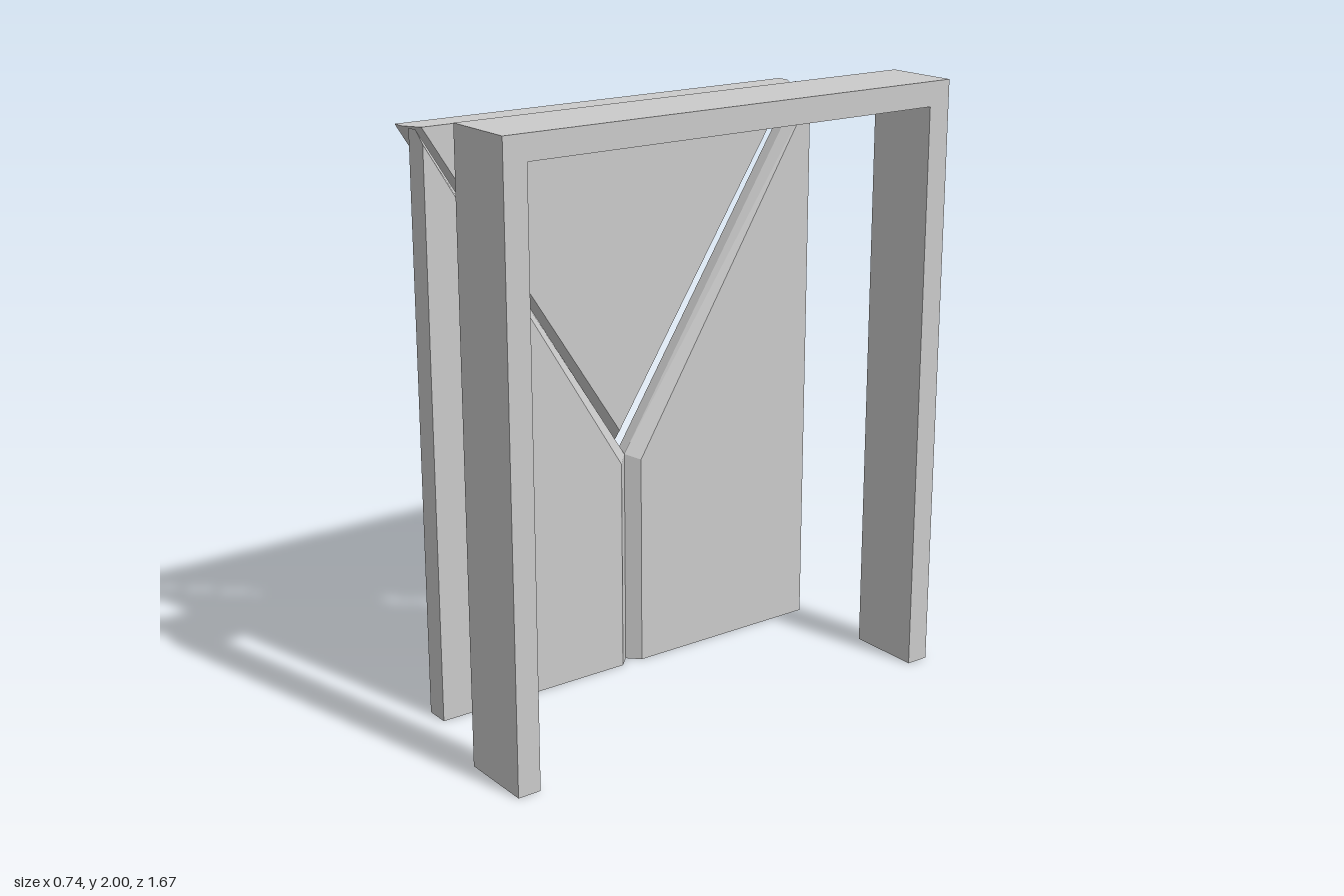
import * as THREE from 'three';
import { ConvexGeometry } from 'three/addons/geometries/ConvexGeometry.js';

const material = new THREE.MeshStandardMaterial({ color: 0xcccccc, flatShading: true });

// Bevelled board: a back outline kept square from x0 to x1, tapering to a front outline at x2.
// Outlines are lists of [z, y].
function bevelledBoard(name, back, front, [x0, x1, x2]) {
  const section = (outline, x) => outline.map(([z, y]) => new THREE.Vector3(x, y, z));
  const points = [...section(back, x0), ...section(back, x1), ...section(front, x2)];
  const mesh = new THREE.Mesh(new ConvexGeometry(points), material);
  mesh.name = name;
  return mesh;
}

export function createModel() {
  const group = new THREE.Group();
  group.name = 'doorway';

  // Door frame: two posts and a lintel, open at the floor
  const outer = 0.834, inner = 0.755, top = 2, head = 1.92;
  const outline = new THREE.Shape([
    [-outer, 0], [-inner, 0], [-inner, head], [inner, head],
    [inner, 0], [outer, 0], [outer, top], [-outer, top],
  ].map(([a, b]) => new THREE.Vector2(a, b)));
  const frameGeometry = new THREE.ExtrudeGeometry(outline, { depth: 0.255, bevelEnabled: false });
  frameGeometry.rotateY(Math.PI / 2).translate(0.115, 0, 0);
  const frame = new THREE.Mesh(frameGeometry, material);
  frame.name = 'doorFrame';
  group.add(frame);

  // Two sliding leaves, bevelled along the middle seam and the diagonal edge
  const side = 0.751;
  for (const [name, s] of [['frontLeaf', 1], ['backLeaf', -1]]) {
    const back = [[0, 0], [s * side, 0], [s * side, head], [0, 0.747]];
    const front = [[s * 0.04, 0], [s * side, 0], [s * side, 1.882], [s * 0.04, 0.73]];
    group.add(bevelledBoard(name, back, front, [-0.287, -0.245, -0.205]));
  }

  // Triangular upper leaf that drops into the V between the other two
  group.add(bevelledBoard('upperLeaf',
    [[0, 0.747], [side, head], [-side, head]],
    [[0, 0.823], [0.716, head], [-0.716, head]],
    [-0.37, -0.326, -0.271]));

  return group;
}
